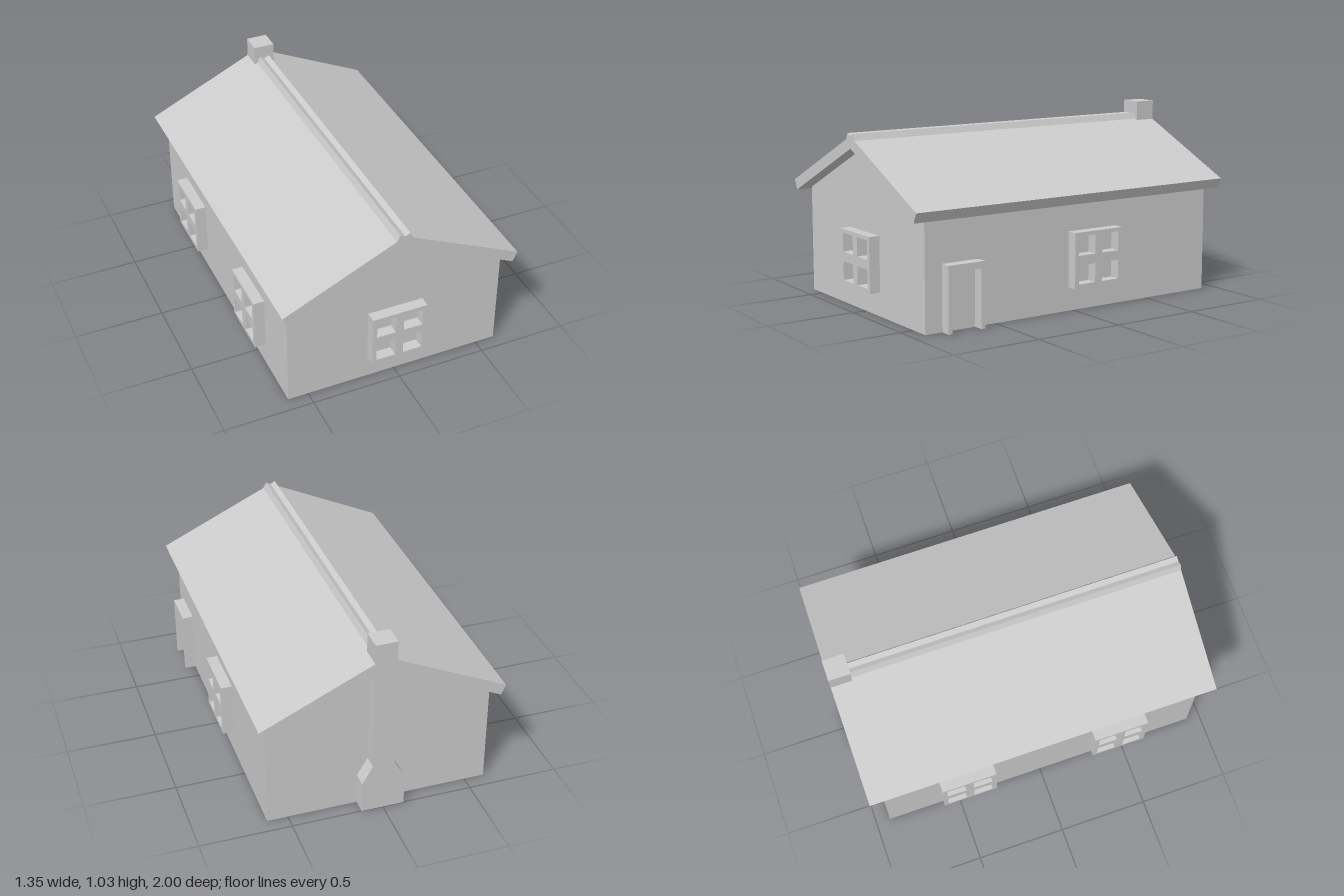
import * as THREE from 'three';

const material = new THREE.MeshStandardMaterial({ color: 0xcccccc, flatShading: true });

const WALL_X = 0.613, WALL_FRONT = 0.923, WALL_BACK = -0.92, RELIEF = 0.061;

// Extrudes an outline (with optional holes) from z0 to z1
function extrude(name, points, z0, z1, holes = []) {
  const toVectors = (list) => list.map(([x, y]) => new THREE.Vector2(x, y));
  const shape = new THREE.Shape(toVectors(points));
  for (const hole of holes) shape.holes.push(new THREE.Path(toVectors(hole)));
  const geometry = new THREE.ExtrudeGeometry(shape, { depth: z1 - z0, bevelEnabled: false });
  geometry.translate(0, 0, z0);
  const mesh = new THREE.Mesh(geometry, material);
  mesh.name = name;
  return mesh;
}

const rect = (x0, x1, y0, y1) => [[x0, y0], [x1, y0], [x1, y1], [x0, y1]];

// Completes a right-hand outline (listed bottom to top) with its mirror image
const mirrored = (right) => [
  ...right,
  ...right.filter(([x]) => x > 0).reverse().map(([x, y]) => [-x, y]),
];

// Four-pane window frame standing out from the wall
function windowFrame(name) {
  const panes = [];
  for (const [x0, x1] of [[-0.132, -0.023], [0.023, 0.132]])
    for (const [y0, y1] of [[0.152, 0.256], [0.308, 0.412]]) panes.push(rect(x0, x1, y0, y1));
  return extrude(name, rect(-0.157, 0.157, 0.13, 0.433), 0, RELIEF, panes);
}

// Door surround, open at the foot
function doorFrame(name) {
  const outline = mirrored([[0.088, 0], [0.11, 0], [0.11, 0.353], [0, 0.353]]);
  // the inner edge is walked back in the opposite direction
  const outer = [[0.11, 0], [0.11, 0.353], [-0.11, 0.353], [-0.11, 0]];
  const inner = [[-0.088, 0], [-0.088, 0.317], [0.088, 0.317], [0.088, 0]];
  return extrude(name, outline.length ? [...outer, ...inner] : outer, 0, RELIEF);
}

// Places a frame on a side wall: side +1 is the left (+x), -1 the right
function onSide(mesh, side, z) {
  mesh.rotation.y = side * Math.PI / 2;
  mesh.position.set(side * WALL_X, 0, z);
  return mesh;
}

export function createModel() {
  const house = new THREE.Group();
  house.name = 'house';

  // Gabled walls
  house.add(extrude('walls', mirrored([[WALL_X, 0], [WALL_X, 0.592], [0, 0.88]]), WALL_BACK, WALL_FRONT));

  // Roof slab with the notched ridge cap
  const roofTop = mirrored([[0.641, 0.58], [0.667, 0.635], [0.045, 0.925], [0.028, 0.96], [0, 0.946]]);
  house.add(extrude('roof', [...roofTop, [0, 0.88]], -1, 1));

  // Chimney, widening at the foot
  const chimney = mirrored([[0.118, 0], [0.118, 0.18], [0.06, 0.28], [0.06, 1.028]]);
  house.add(extrude('chimney', chimney, -1.001, -0.88));

  // Windows and door
  const frontWindow = windowFrame('frontWindow');
  frontWindow.position.z = WALL_FRONT;
  house.add(
    frontWindow,
    onSide(windowFrame('leftWindow'), 1, -0.125),
    onSide(windowFrame('rightFrontWindow'), -1, 0.457),
    onSide(windowFrame('rightBackWindow'), -1, -0.443),
    onSide(doorFrame('doorFrame'), 1, 0.713),
  );
  return house;
}
